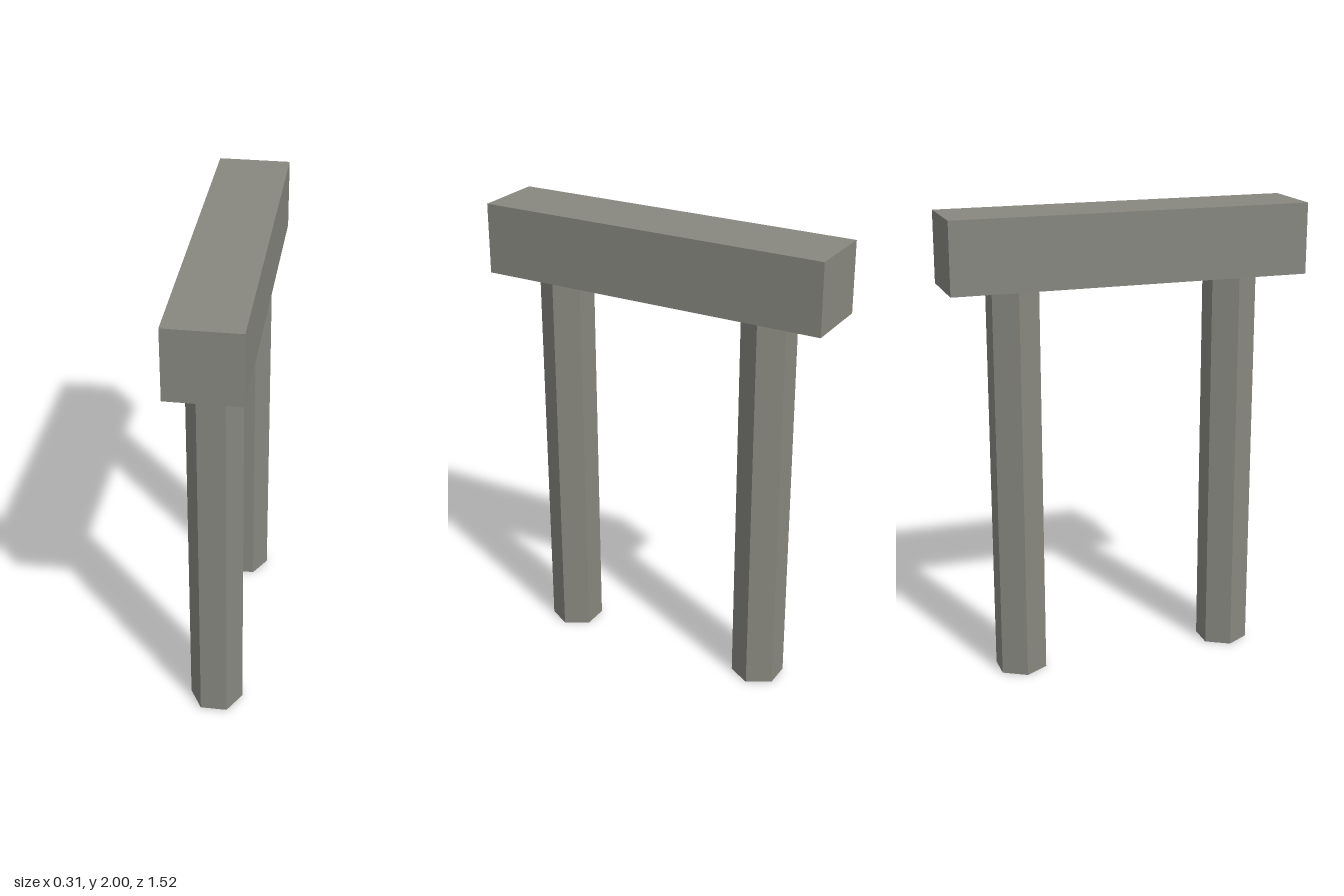
import * as THREE from 'three';

export function createModel() {
  const model = new THREE.Group();
  model.name = 'stoneGateway';

  const stone = new THREE.MeshStandardMaterial({ color: 0x888880 });
  stone.name = 'grey stone';

  const beamBottom = 1.7;
  const beamHeight = 0.3;

  // Square beam running front to back
  const beam = new THREE.Mesh(new THREE.BoxGeometry(0.305, beamHeight, 1.525), stone);
  beam.name = 'beam';
  beam.position.y = beamBottom + beamHeight / 2;
  model.add(beam);

  // Six-sided posts, corners pointing to the sides and flats to the front and back
  const postGeometry = new THREE.CylinderGeometry(0.114, 0.114, beamBottom, 6)
    .rotateY(Math.PI / 2)
    .toNonIndexed();
  postGeometry.computeVertexNormals();
  for (const [name, side] of [['frontPost', 1], ['backPost', -1]]) {
    const post = new THREE.Mesh(postGeometry, stone);
    post.name = name;
    post.position.set(0, beamBottom / 2, side * 0.477);
    model.add(post);
  }

  return model;
}
